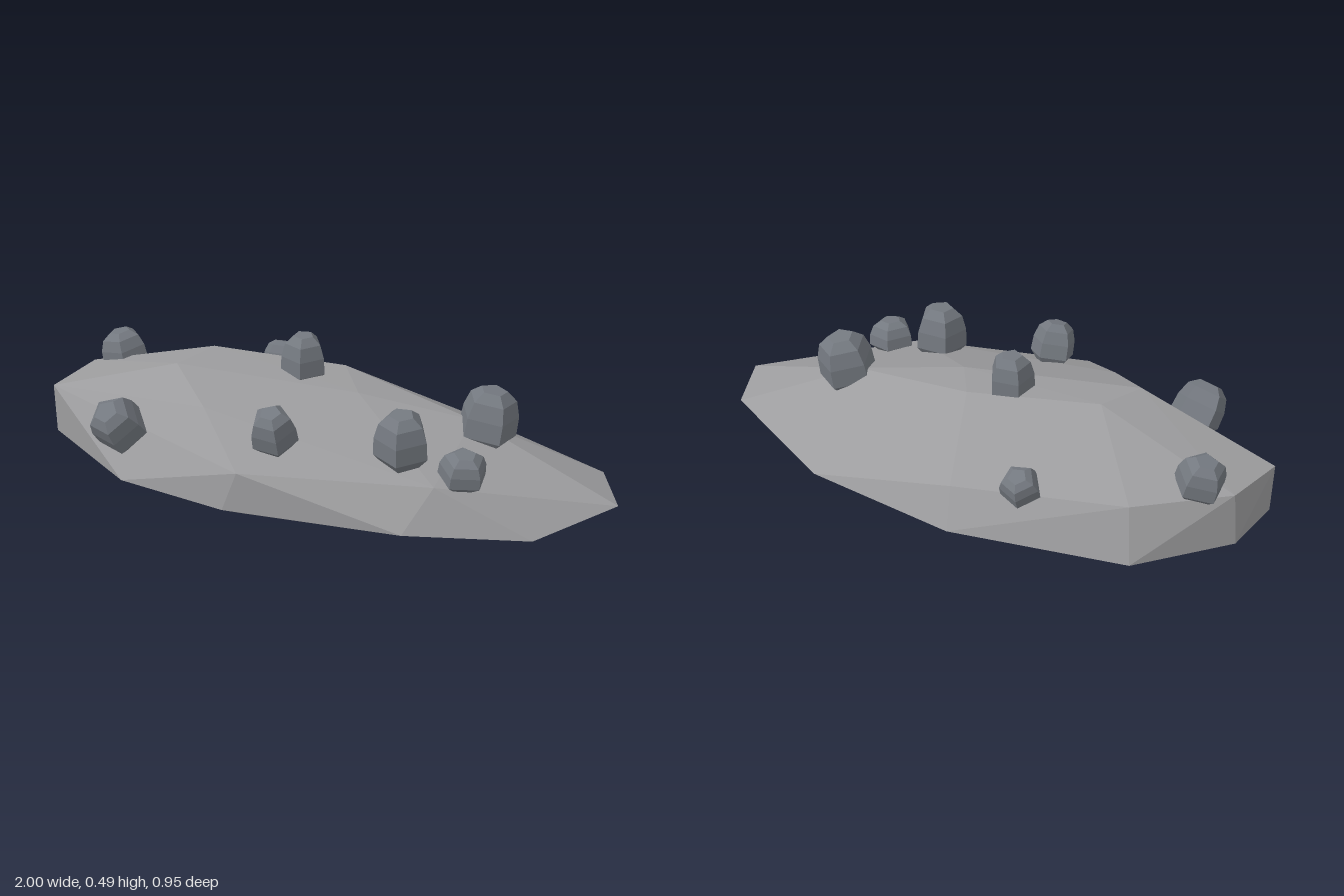
import * as THREE from 'three';
import { ConvexGeometry } from 'three/addons/geometries/ConvexGeometry.js';

export function createModel() {
  const model = new THREE.Group();
  model.name = 'rockyOutcrop';
  const slabStone = new THREE.MeshStandardMaterial({ color: 0x9c9c9e, flatShading: true });
  slabStone.name = 'pale slab stone';
  const boulderStone = new THREE.MeshStandardMaterial({ color: 0x747980, flatShading: true });
  boulderStone.name = 'slate boulder stone';

  // Widest outline of the slab (x, y, z), pointed at +x
  const rim = [
    [-1, 0.06, 0.16], [-0.97, 0.06, -0.06], [-0.72, 0.06, -0.33], [-0.13, 0.06, -0.475],
    [0.42, 0.06, -0.44], [0.91, 0.055, -0.21], [1, 0.055, 0], [0.77, 0.01, 0.24],
    [0.38, 0.055, 0.42], [-0.22, 0.06, 0.475], [-0.62, 0.06, 0.41],
  ];
  // Underside: the outline drawn in and dropped to the ground
  const base = rim.map(([x, , z]) => [x * 0.85, 0, z * 0.8]);
  // Shoulder corners and crest
  const crown = [
    [-1, 0.24, 0.16], [-0.95, 0.25, -0.06], [-0.68, 0.24, -0.27], [-0.1, 0.185, -0.4],
    [-0.17, 0.2, 0.462], [0.45, 0.18, 0.3], [-0.36, 0.32, 0.28], [-0.52, 0.395, 0.14],
    [-0.45, 0.402, -0.02], [0, 0.355, -0.12], [0.1, 0.335, 0.03], [0.48, 0.255, -0.06],
  ];
  const points = [...rim, ...base, ...crown].map((p) => new THREE.Vector3(...p));
  const slab = new THREE.Mesh(new ConvexGeometry(points), slabStone);
  slab.name = 'slab';
  model.add(slab);

  // Five-sided boulder: straight flanks, chamfered shoulder, small flat top
  const profile = [[0, -0.7], [0.6, -0.65], [1, -0.25], [0.97, 0.3], [0.8, 0.75], [0.45, 1], [0, 1]]
    .map(([x, y]) => new THREE.Vector2(x, y));
  const boulderShape = new THREE.LatheGeometry(profile, 5);

  // x, y, z, radius, half height, turn, tilt towards +x, tilt towards +z
  const boulders = [
    [-0.84, 0.285, -0.09, 0.085, 0.085, 0.4, -0.2, 0],
    [-0.33, 0.23, -0.34, 0.07, 0.065, 0.9, 0, -0.4],
    [-0.12, 0.385, -0.03, 0.08, 0.105, 0.2, 0, 0],
    [0.53, 0.25, -0.06, 0.105, 0.125, 0.7, 0.12, -0.08],
    [0.32, 0.28, 0.235, 0.095, 0.115, 0.1, 0, 0.08],
    [0.525, 0.21, 0.225, 0.083, 0.072, 1.0, 0.1, 0.1],
    [-0.085, 0.3, 0.34, 0.08, 0.095, 0.5, 0, 0.3],
    [-0.65, 0.225, 0.335, 0.094, 0.105, 0.3, -0.15, 0.65],
  ];
  boulders.forEach(([x, y, z, radius, height, turn, leanX, leanZ], i) => {
    const boulder = new THREE.Mesh(boulderShape, boulderStone);
    boulder.name = `boulder${i + 1}`;
    boulder.position.set(x, y, z);
    boulder.rotation.set(leanZ, turn, -leanX, 'XZY');
    boulder.scale.set(radius, height, radius);
    model.add(boulder);
  });

  return model;
}
